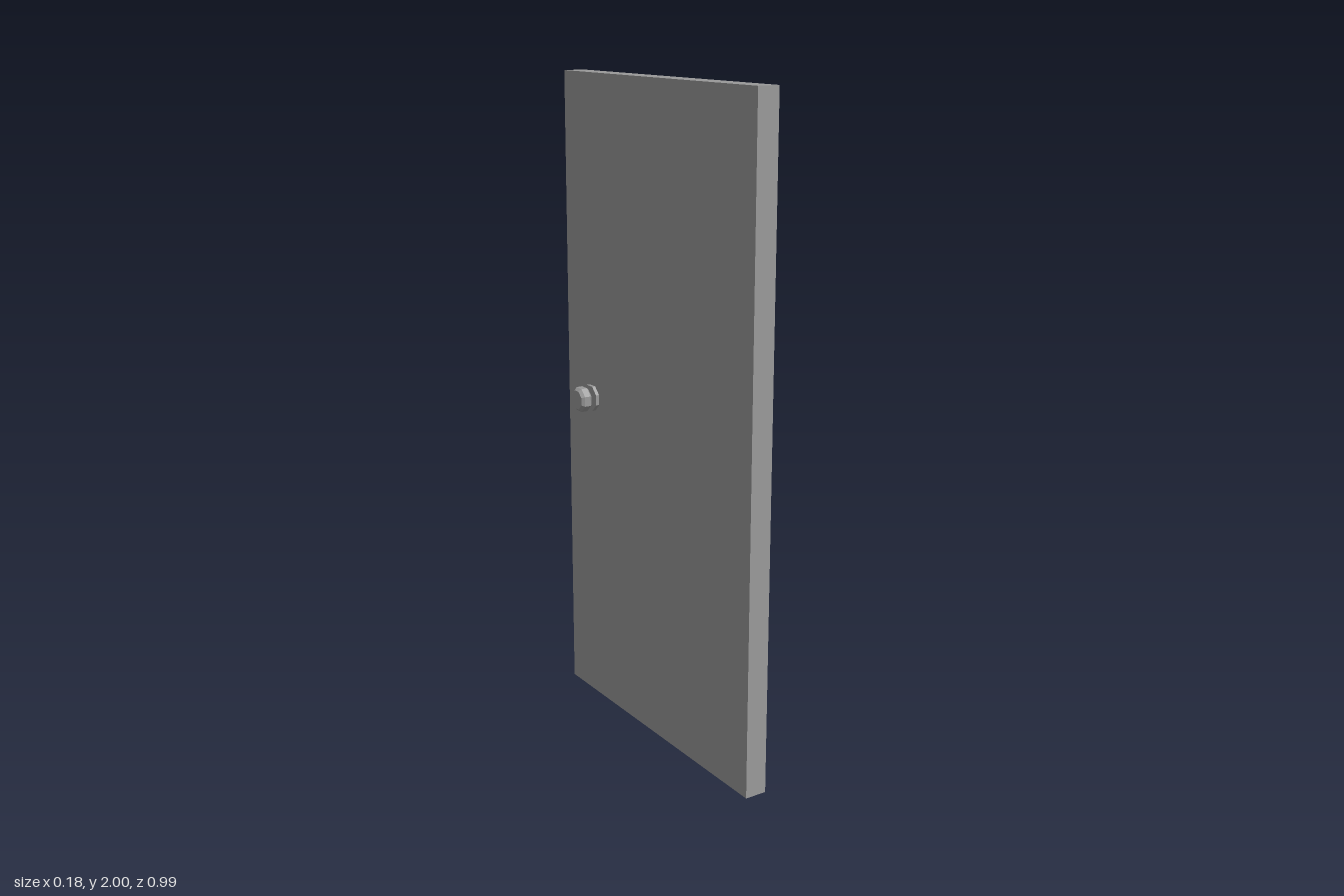
import * as THREE from 'three';

const SIDES = 8;

export function createModel() {
  const model = new THREE.Group();
  model.name = 'door';
  const grey = new THREE.MeshStandardMaterial({ color: 0x999999, flatShading: true });
  grey.name = 'plain grey';

  // Door slab
  const slab = new THREE.Mesh(new THREE.BoxGeometry(0.068, 2, 0.988), grey);
  slab.name = 'doorSlab';
  slab.position.y = 1;
  model.add(slab);

  // Turned part: [radius, distance from the door's middle], laid along +x
  const turned = (name, profile) => {
    const points = profile.map(([r, d]) => new THREE.Vector2(r, d));
    const geometry = new THREE.LatheGeometry(points, SIDES, Math.PI / SIDES);
    geometry.rotateZ(-Math.PI / 2);
    const mesh = new THREE.Mesh(geometry, grey);
    mesh.name = name;
    return mesh;
  };

  // One knob set on each face
  for (const side of ['left', 'right']) {
    const handle = new THREE.Group();
    handle.name = side + 'Handle';
    handle.add(
      turned('rosePlate', [[0, 0.03], [0.042, 0.03], [0.042, 0.045], [0, 0.045]]),
      turned('spindle', [[0.008, 0.04], [0.008, 0.06]]),
      turned('knob', [[0, 0.055], [0.031, 0.055], [0.04, 0.063], [0.04, 0.083], [0.031, 0.092], [0, 0.092]])
    );
    handle.position.set(0, 1.004, -0.348);
    if (side === 'right') handle.rotation.y = Math.PI;
    model.add(handle);
  }
  return model;
}
